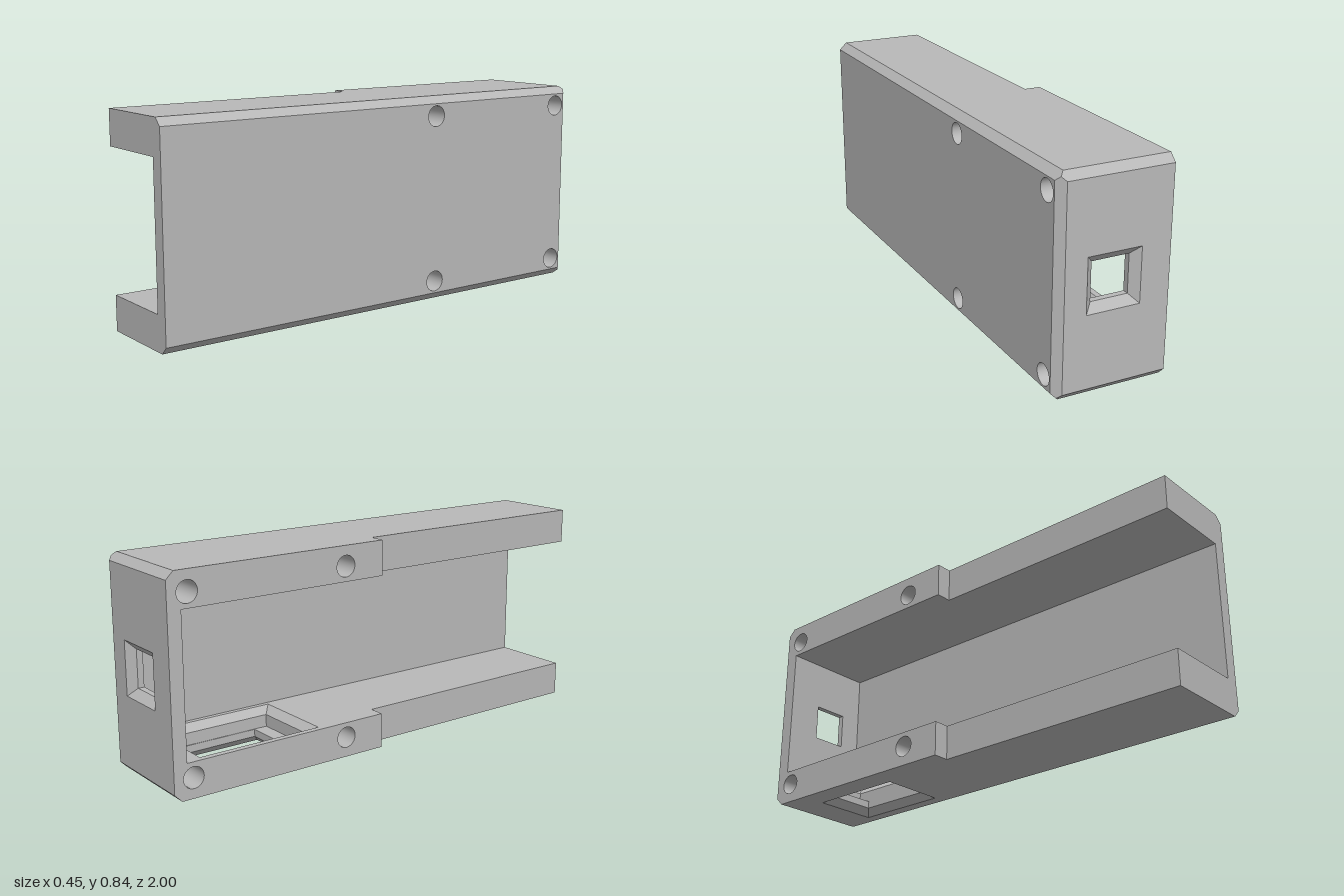
import * as THREE from 'three';

const grey = new THREE.MeshStandardMaterial({ color: 0xb8b8b8, side: THREE.DoubleSide });
grey.name = 'plain grey';

// Outer limits, wall faces and chamfer size
const X0 = -0.225, XS = -0.16, XI = 0.17, X1 = 0.225;   // open side, step, inner plate, outer plate
const H = 0.84, YL = 0.14, YH = 0.70;                   // height, cavity floor and ceiling
const ZB = -1, ZI = -0.945, ZS = -0.065, ZF = 1;        // back, inner back, step, front
const C = 0.03;
const boltHoles = [[-0.24, 0.08], [-0.24, 0.76], [-0.92, 0.08], [-0.92, 0.76]];
const boltRadius = 0.042;

const v2 = (pts) => pts.map(([a, b]) => new THREE.Vector2(a, b));
const rect = (a0, b0, a1, b1) => [[a0, b0], [a1, b0], [a1, b1], [a0, b1]];
const inset = ([a0, b0, a1, b1], d) => [a0 + d, b0 + d, a1 - d, b1 - d];
const circle = ([a, b], r) => Array.from({ length: 32 }, (_, i) => {
  const t = i / 32 * Math.PI * 2;
  return [a + r * Math.cos(t), b + r * Math.sin(t)];
});

// 2D outline to 3D: x planes use (z, y), y planes use (x, z), z planes use (x, y)
const place = {
  x: (a, b, at) => [at, b, a],
  y: (a, b, at) => [a, at, b],
  z: (a, b, at) => [a, b, at],
};

export function createModel() {
  const group = new THREE.Group();
  const add = (name, geometry) => {
    const mesh = new THREE.Mesh(geometry, grey);
    mesh.name = name;
    group.add(mesh);
    return mesh;
  };

  // Flat face on an axis plane, facing along sign
  const face = (name, axis, at, sign, outline, holes = []) => {
    const shape = new THREE.Shape(v2(outline));
    holes.forEach((h) => shape.holes.push(new THREE.Path(v2(h))));
    const g = new THREE.ShapeGeometry(shape);
    const p = g.attributes.position;
    for (let i = 0; i < p.count; i++) p.setXYZ(i, ...place[axis](p.getX(i), p.getY(i), at));
    if (sign !== (axis === 'z' ? 1 : -1)) {
      const ix = g.index.array;
      for (let i = 0; i < ix.length; i += 3) [ix[i], ix[i + 1]] = [ix[i + 1], ix[i]];
    }
    g.computeVertexNormals();
    add(name, g);
  };

  // Faceted skin joining successive rings of points
  const band = (name, rings, closed) => {
    const out = [];
    const tri = (a, b, c) => {
      const area = new THREE.Triangle(...[a, b, c].map((q) => new THREE.Vector3(...q))).getArea();
      if (area > 1e-9) out.push(...a, ...b, ...c);
    };
    for (let r = 0; r + 1 < rings.length; r++) {
      const n = rings[r].length;
      for (let i = 0; i < (closed ? n : n - 1); i++) {
        const j = (i + 1) % n;
        tri(rings[r][i], rings[r][j], rings[r + 1][j]);
        tri(rings[r][i], rings[r + 1][j], rings[r + 1][i]);
      }
    }
    const g = new THREE.BufferGeometry();
    g.setAttribute('position', new THREE.Float32BufferAttribute(out, 3));
    g.computeVertexNormals();
    add(name, g);
  };
  const ring = (axis, at, outline) => outline.map(([a, b]) => place[axis](a, b, at));

  // Window sizes
  const port = [-0.1075, 0.3145, 0.1075, 0.5295];
  const portThroat = inset(port, 0.0325);
  const slot = [-0.123, -0.82, 0.147, -0.415];
  const slotThroat = inset(slot, 0.03);
  const pocket = [-0.2, -0.88, 0.15, -0.357];
  const pocketFloor = inset(pocket, 0.03);
  const bolts = boltHoles.map((c) => circle(c, boltRadius));

  // Outer skin
  face('sidePlate', 'x', X1, 1, rect(ZB + C, C, ZF, H - C), bolts);
  const stepped = (xMax, zMin) => [[X0, zMin], [xMax, zMin], [xMax, ZF], [XS, ZF], [XS, ZS], [X0, ZS]];
  face('topFace', 'y', H, 1, stepped(X1 - C, ZB + C));
  face('bottomFace', 'y', 0, -1, stepped(X1 - C, ZB + C), [rect(...slot)]);
  face('backFace', 'z', ZB, -1, rect(X0, C, X1 - C, H - C), [rect(...port)]);

  // Chamfers around the side plate, mitred at the back corners
  const edge = (t) => {
    const c = Math.max(C, 2 * t) - t;
    return [[ZF, H - t], [ZB + c, H - t], [ZB + t, H - c], [ZB + t, c], [ZB + c, t], [ZF, t]];
  };
  band('sideChamfer', [0, C / 2, C].map((t) => ring('x', X1 - C + t, edge(t))), false);
  // Chamfers across the back, above and below
  for (const [name, y, s] of [['upperBackChamfer', H, -1], ['lowerBackChamfer', 0, 1]]) {
    const profile = [[ZB + C, y], [ZB, y + s * C]];
    band(name, [ring('x', X0, profile), ring('x', X1 - C, profile)], false);
  }

  // Open side, step and front end
  face('openSideRim', 'x', X0, -1, [
    [ZS, 0], [ZS, YL], [ZI, YL], [ZI, YH], [ZS, YH], [ZS, H],
    [ZB + C, H], [ZB, H - C], [ZB, C], [ZB + C, 0],
  ], bolts);
  for (const [y0, y1] of [[0, YL], [YH, H]]) {
    face('armEdge', 'x', XS, -1, rect(ZS, y0, ZF, y1));
    face('armStep', 'z', ZS, 1, rect(X0, y0, XS, y1));
  }
  face('frontEnd', 'z', ZF, 1, [
    [XS, 0], [X1 - C, 0], [X1, C], [X1, H - C], [X1 - C, H],
    [XS, H], [XS, YH], [XI, YH], [XI, YL], [XS, YL],
  ]);

  // Cavity
  face('cavityCeiling', 'y', YH, -1, stepped(XI, ZI));
  face('cavityFloor', 'y', YL, 1, stepped(XI, ZI), [rect(...pocket)]);
  face('cavitySide', 'x', XI, -1, rect(ZI, YL, ZF, YH));
  face('cavityBack', 'z', ZI, 1, rect(X0, YL, XI, YH), [rect(...portThroat)]);

  // Bevelled square port through the back wall
  band('backPort', [
    ring('z', ZB, rect(...port)),
    ring('z', ZB + 0.03, rect(...portThroat)),
    ring('z', ZI, rect(...portThroat)),
  ], true);

  // Bevelled slot in the bottom wall, opening into a wider pocket
  band('bottomSlot', [
    ring('y', 0, rect(...slot)),
    ring('y', 0.03, rect(...slotThroat)),
    ring('y', 0.06, rect(...slotThroat)),
  ], true);
  face('pocketLedge', 'y', 0.06, 1, rect(...pocketFloor), [rect(...slotThroat)]);
  band('pocketWall', [
    ring('y', 0.06, rect(...pocketFloor)),
    ring('y', YL - 0.03, rect(...pocketFloor)),
    ring('y', YL, rect(...pocket)),
  ], true);

  // Bolt hole linings
  for (const [z, y] of boltHoles) {
    const g = new THREE.CylinderGeometry(boltRadius, boltRadius, X1 - X0, 32, 1, true);
    add('boltHole', g.rotateZ(Math.PI / 2)).position.set(0, y, z);
  }
  return group;
}
